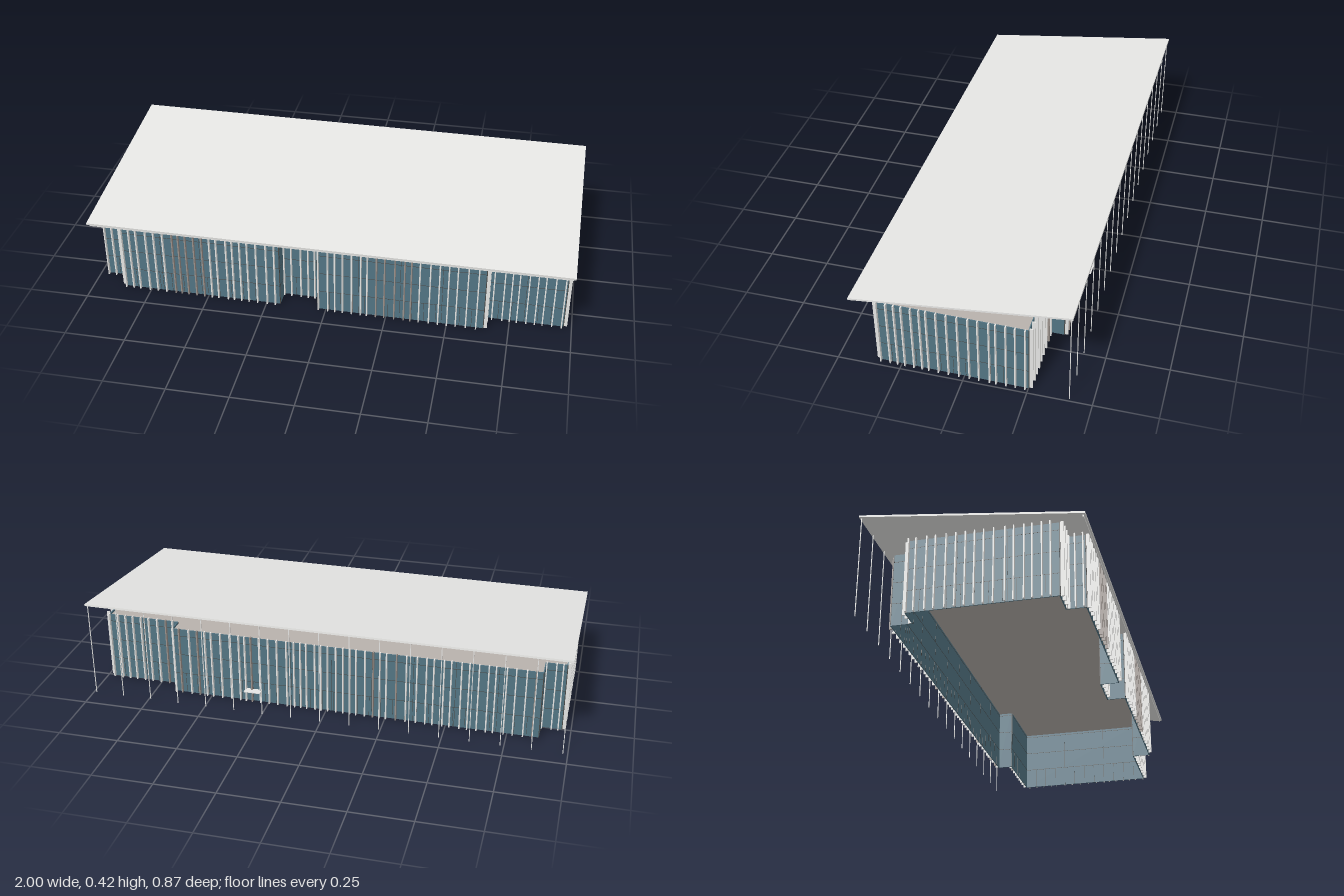
import * as THREE from 'three';

const mat = (name, color) => Object.assign(new THREE.MeshStandardMaterial({ color }), { name });

export function createModel() {
  const glass = mat('blue glass', 0x527483);
  const light = mat('light grey', 0xe5e5e3);
  const dark = mat('dark steel', 0x4a4a48);
  const bronze = mat('grey brown', 0x9a918b);
  const deckMat = mat('deck grey', 0xb8b1ac);

  const model = new THREE.Group();
  model.name = 'pavilion';
  const building = new THREE.Group();
  building.name = 'building';
  building.rotation.y = -0.0095; // slightly turned on its plot
  model.add(building);

  let seed = 7;
  const rnd = () => (seed = (seed * 16807) % 2147483647) / 2147483647;

  const box = (parent, name, m, w, h, d, x, y, z) => {
    const mesh = new THREE.Mesh(new THREE.BoxGeometry(w, h, d), m);
    mesh.name = name;
    mesh.position.set(x, y, z);
    parent.add(mesh);
  };

  // Stepped footprint as x, z corners
  const plan = [
    [0.97, 0.328], [0.652, 0.328], [0.652, 0.402], [-0.03, 0.402], [-0.03, 0.328], [-0.19, 0.328],
    [-0.19, 0.402], [-0.86, 0.402], [-0.86, 0.328], [-0.965, 0.328], [-0.965, -0.238], [-0.88, -0.238],
    [-0.88, -0.322], [0.66, -0.322], [0.66, -0.26], [0.97, -0.26],
  ];
  const wallH = 0.296, finH = 0.302, finD = 0.0135;

  // One glazed wall per plan edge: glass, transoms, mullions and sun fins
  plan.forEach(([x0, z0], i) => {
    const [x1, z1] = plan[(i + 1) % plan.length];
    const len = Math.hypot(x1 - x0, z1 - z0);
    const nx = (z1 - z0) / len, nz = -(x1 - x0) / len;
    const wall = new THREE.Group();
    wall.name = 'wall' + (i + 1);
    wall.position.set((x0 + x1) / 2, 0, (z0 + z1) / 2);
    wall.rotation.y = Math.atan2(nx, nz);
    building.add(wall);

    box(wall, 'glazing', glass, len, wallH, 0.004, 0, wallH / 2, 0);
    for (const y of [0.09, 0.178, 0.265]) {
      box(wall, 'transom', dark, len, 0.002, 0.005, 0, y, 0);
    }
    const bays = Math.max(1, Math.round(len / 0.17));
    for (let k = 0; k <= bays; k++) {
      box(wall, 'mullion', dark, 0.0015, wallH, 0.005, -len / 2 + (len * k) / bays, wallH / 2, 0);
    }
    const panes = Math.max(1, Math.round(len / 0.05));
    for (let k = 1; k < panes; k++) {
      box(wall, 'lowerMullion', dark, 0.0015, 0.09, 0.005, -len / 2 + (len * k) / panes, 0.045, 0);
    }

    // The returns of the recess and of the rear bay are plain glass
    const isReturn = Math.abs(nx) > 0.5 && len < 0.12;
    if (isReturn && (z0 < 0 || Math.abs(x0) < 0.5)) return;

    // Irregularly spaced fins, browner ones in clusters on the front
    const front = nz > 0.5, back = nz < -0.5;
    for (let s = 0.004; s < len; s += 0.025 + rnd() * 0.018) {
      const wx = x0 + ((x1 - x0) * s) / len;
      const cluster = front && ((wx > -0.55 && wx < -0.38) || (wx > 0.25 && wx < 0.41));
      const m = cluster || (back && rnd() < 0.15) ? bronze : light;
      box(wall, 'sunFin', m, 0.005, finH, finD, s - len / 2, finH / 2, finD / 2 + 0.002);
    }
  });

  // Flat deck closing the top of the rooms
  const outline = new THREE.Shape(plan.map(([x, z]) => new THREE.Vector2(x, -z)));
  const deckGeo = new THREE.ExtrudeGeometry(outline, { depth: 0.012, bevelEnabled: false });
  deckGeo.rotateX(-Math.PI / 2);
  const deck = new THREE.Mesh(deckGeo, deckMat);
  deck.name = 'deck';
  deck.position.y = 0.275;
  building.add(deck);

  // Large single-pitch roof, low at the front
  const depth = 0.855, rise = 0.106;
  const roof = new THREE.Group();
  roof.name = 'roof';
  roof.position.set(0, 0.361, 0);
  roof.rotation.x = Math.atan2(rise, depth);
  building.add(roof);
  box(roof, 'roofPlate', light, 1.99, 0.008, Math.hypot(depth, rise), 0, 0, 0);
  box(building, 'gutter', light, 1.97, 0.01, 0.004, 0, 0.301, 0.419);

  // Row of slender rear posts
  for (let i = 0; i <= 16; i++) {
    box(building, 'rearPost', light, 0.003, 0.41, 0.003, -0.985 + (1.97 * i) / 16, 0.205, -0.42);
  }

  // Small shelf on the rear wall
  box(building, 'shelf', light, 0.07, 0.003, 0.034, 0.31, 0.055, -0.34);
  return model;
}
